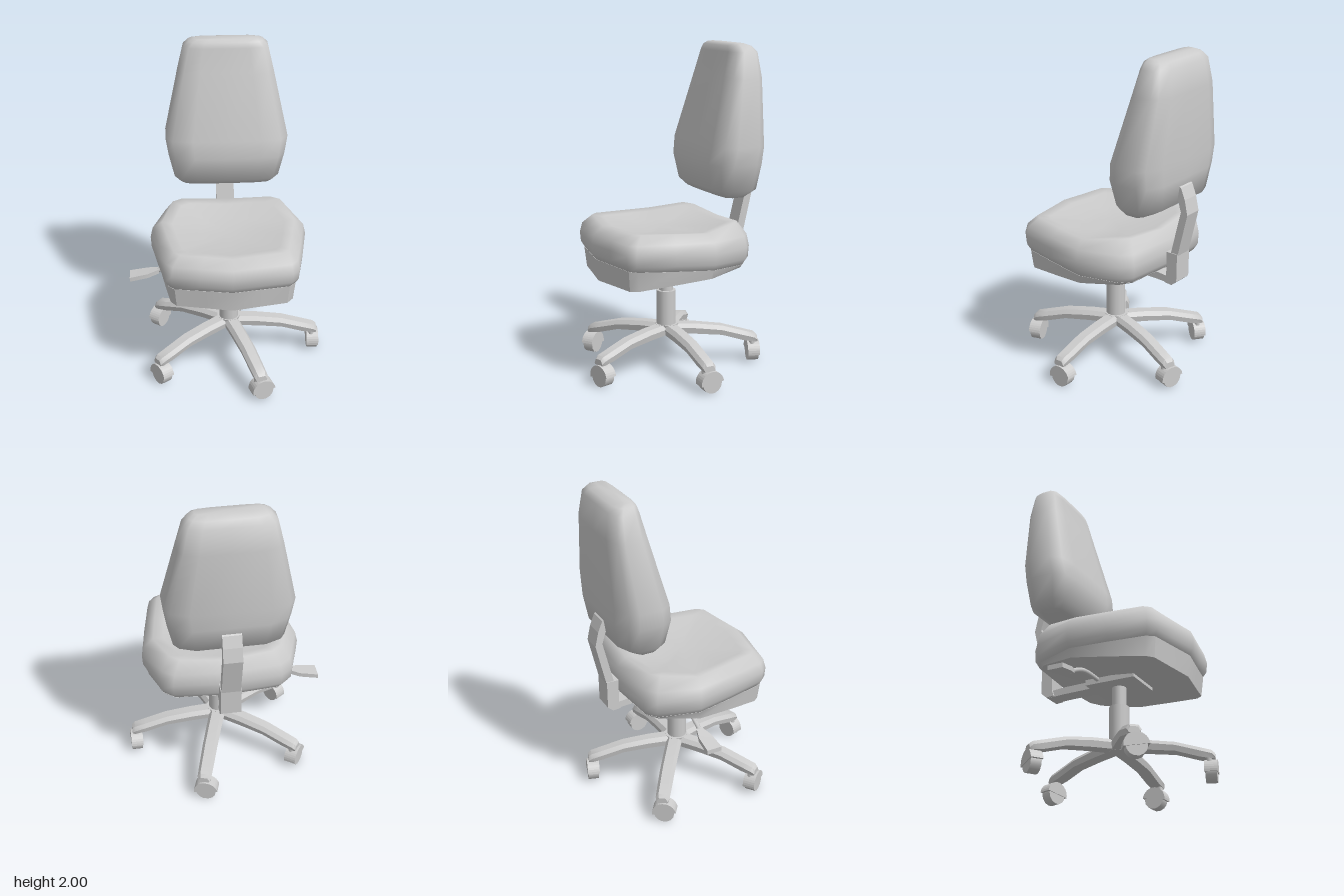
import * as THREE from 'three';
import { toCreasedNormals } from 'three/addons/utils/BufferGeometryUtils.js';

const CX = 0.02; // the chair's own axis
const material = new THREE.MeshStandardMaterial({ color: 0xcccccc });

function add(parent, name, geometry, x = 0, y = 0, z = 0) {
  const mesh = new THREE.Mesh(geometry, material);
  mesh.name = name;
  mesh.position.set(x, y, z);
  parent.add(mesh);
  return mesh;
}

// Skin over closed rings of [x, y, z], capped at both ends and facing outward
function loft(rings, crease) {
  const n = rings[0].length;
  const points = rings.flat();
  const index = [];
  rings.slice(1).forEach((_, r) => {
    for (let i = 0; i < n; i++) {
      const a = r * n + i, b = r * n + (i + 1) % n;
      index.push(a, b, b + n, a, b + n, a + n);
    }
  });
  [0, rings.length - 1].forEach((r, end) => {
    const c = points.length;
    points.push([0, 1, 2].map((k) => rings[r].reduce((s, p) => s + p[k], 0) / n));
    for (let i = 0; i < n; i++) {
      const a = r * n + i, b = r * n + (i + 1) % n;
      index.push(...(end ? [a, b, c] : [b, a, c]));
    }
  });
  // signed volume decides the winding
  const v = points.map((p) => new THREE.Vector3(...p));
  let volume = 0;
  for (let i = 0; i < index.length; i += 3) {
    volume += v[index[i]].dot(v[index[i + 1]].clone().cross(v[index[i + 2]]));
  }
  if (volume < 0) index.reverse();
  const g = new THREE.BufferGeometry();
  g.setAttribute('position', new THREE.Float32BufferAttribute(points.flat(), 3));
  g.setIndex(index);
  return toCreasedNormals(g, crease);
}

// Side profile of [z, y] points, extruded across x
function sideProfile(points, width) {
  const shape = new THREE.Shape(points.map((p) => new THREE.Vector2(...p)));
  const g = new THREE.ExtrudeGeometry(shape, { depth: width, bevelEnabled: false });
  return g.translate(0, 0, -width / 2).rotateY(-Math.PI / 2);
}

function buildSeat(chair) {
  // half outline: x, z, height of the top rim
  const half = [[0.19, 0.465, 0.937], [0.36, 0.435, 0.94], [0.4, 0.39, 0.94], [0.445, 0.16, 0.932],
    [0.485, -0.08, 0.925], [0.4, -0.33, 0.955], [0.33, -0.385, 0.95]];
  const outline = [[0, 0.5, 0.935], ...half, [0, -0.41, 0.93],
    ...half.slice().reverse().map(([x, z, t]) => [-x, z, t])];
  const ring = (s, height) => outline.map(([x, z, t]) => {
    const zz = 0.02 + (z - 0.02) * s;
    return [CX + x * s, height(zz, t), zz];
  });
  const under = (z) => 0.71 + 0.042 * z;
  add(chair, 'seatCushion', loft([
    ring(0.94, under),
    ring(0.99, (z) => under(z) + 0.04),
    ring(1, (z) => 0.815 + 0.03 * z),
    ring(0.97, (z) => 0.88 + 0.015 * z),
    ring(0.85, (z, t) => t),
    ring(0.72, (z, t) => t - 0.01),
    ring(0.35, () => 0.9),
  ], 1.2));
  add(chair, 'seatShell', loft([
    ring(0.92, (z) => Math.min(0.65 - 0.105 * z, under(z) - 0.003)),
    ring(0.95, (z) => under(z) + 0.004),
  ], 0.6));
}

function buildBackrest(chair) {
  // height, half width, front z, back z
  const sections = [[1.09, 0.285, -0.25, -0.41], [1.135, 0.325, -0.2, -0.485], [1.29, 0.36, -0.172, -0.51],
    [1.4, 0.378, -0.19, -0.513], [1.8, 0.292, -0.292, -0.525], [1.95, 0.257, -0.33, -0.503],
    [1.985, 0.225, -0.337, -0.475], [2, 0.19, -0.355, -0.43]];
  const rings = sections.map(([y, w, front, back]) => {
    const d = front - back;
    const side = [[0.55, 0.01], [0.88, 0.07], [1, 0.27], [1, 0.72], [0.91, 0.87], [0.62, 1]];
    return [[0, 0], ...side, [0, 1], ...side.slice().reverse().map(([x, t]) => [-x, t])]
      .map(([x, t]) => [CX + x * w, y, front - t * d]);
  });
  add(chair, 'backrest', loft(rings, 1.1));
}

function buildMechanism(chair) {
  add(chair, 'seatPlate', new THREE.BoxGeometry(0.26, 0.035, 0.32), CX, 0.63, 0.01);
  add(chair, 'plateSpacer', new THREE.BoxGeometry(0.2, 0.05, 0.24), CX, 0.665, 0.01);
  add(chair, 'rearArm', sideProfile([[-0.1, 0.625], [-0.35, 0.62], [-0.45, 0.615], [-0.45, 0.655],
    [-0.35, 0.665], [-0.1, 0.67]], 0.1), CX);
  add(chair, 'backBracket', sideProfile([[-0.41, 0.62], [-0.46, 0.615], [-0.495, 0.645], [-0.497, 0.82],
    [-0.42, 0.82], [-0.422, 0.66]], 0.125), CX);
  add(chair, 'backSupport', sideProfile([[-0.44, 0.78], [-0.49, 0.78], [-0.56, 1.08], [-0.54, 1.17],
    [-0.512, 1.24], [-0.48, 1.26], [-0.48, 1.2], [-0.515, 1.09]], 0.115), CX);

  // height lever on the right
  const lever = new THREE.Group();
  lever.name = 'heightLever';
  const path = new THREE.CatmullRomCurve3([[0, 0.635], [-0.26, 0.635], [-0.35, 0.61], [-0.45, 0.56]]
    .map(([x, y]) => new THREE.Vector3(x, y, -0.07)));
  add(lever, 'leverRod', new THREE.TubeGeometry(path, 12, 0.014, 6));
  const slab = (x, y, h, w) => [[x, y - h, -0.07 - w], [x, y - h, -0.07 + w], [x, y + h, -0.07 + w], [x, y + h, -0.07 - w]];
  add(lever, 'leverPaddle', loft([slab(-0.605, 0.535, 0.014, 0.048), slab(-0.49, 0.556, 0.014, 0.042),
    slab(-0.42, 0.573, 0.014, 0.018)], 0.5));
  chair.add(lever);
}

function buildBase(chair) {
  add(chair, 'columnSleeve', new THREE.CylinderGeometry(0.06, 0.06, 0.27, 14), CX, 0.355, 0.01);
  add(chair, 'gasLift', new THREE.CylinderGeometry(0.043, 0.043, 0.16, 14), CX, 0.56, 0.01);
  add(chair, 'hub', new THREE.CylinderGeometry(0.075, 0.06, 0.065, 10), CX, 0.243, 0.005);

  // distance, top, bottom, half width of each leg section
  const sections = [[0, 0.278, 0.215, 0.05], [0.18, 0.268, 0.205, 0.048], [0.34, 0.248, 0.19, 0.047],
    [0.48, 0.208, 0.148, 0.045], [0.55, 0.188, 0.135, 0.043], [0.568, 0.17, 0.135, 0.035]];
  const legGeometry = loft(sections.map(([r, top, low, w]) => [[r, low, -w * 0.85], [r, top - 0.025, -w],
    [r, top, -w * 0.6], [r, top, w * 0.6], [r, top - 0.025, w], [r, low, w * 0.85]]), 0.7);

  // caster parts turn about the leg's own direction
  const wheelGeometry = new THREE.CylinderGeometry(0.062, 0.062, 0.066, 14).rotateZ(Math.PI / 2);
  const arc = new THREE.Shape();
  arc.absarc(0, 0, 0.074, -0.15, Math.PI - 0.15, false);
  arc.closePath();
  const hoodGeometry = new THREE.ExtrudeGeometry(arc, { depth: 0.076, bevelEnabled: false, curveSegments: 8 })
    .translate(0, 0, -0.038).rotateY(-Math.PI / 2);

  for (let i = 0; i < 5; i++) {
    const leg = new THREE.Group();
    leg.name = 'leg' + (i + 1);
    leg.position.set(CX, 0, 0);
    leg.rotation.y = -i * Math.PI * 2 / 5;
    add(leg, 'legArm', legGeometry);
    add(leg, 'casterPin', new THREE.CylinderGeometry(0.018, 0.018, 0.09, 8), 0.535, 0.115, 0.02);
    add(leg, 'casterWheel', wheelGeometry, 0.543, 0.065, -0.012);
    add(leg, 'casterHood', hoodGeometry, 0.543, 0.064, -0.012);
    chair.add(leg);
  }
}

export function createModel() {
  const chair = new THREE.Group();
  chair.name = 'officeChair';
  buildSeat(chair);
  buildBackrest(chair);
  buildMechanism(chair);
  buildBase(chair);
  return chair;
}
